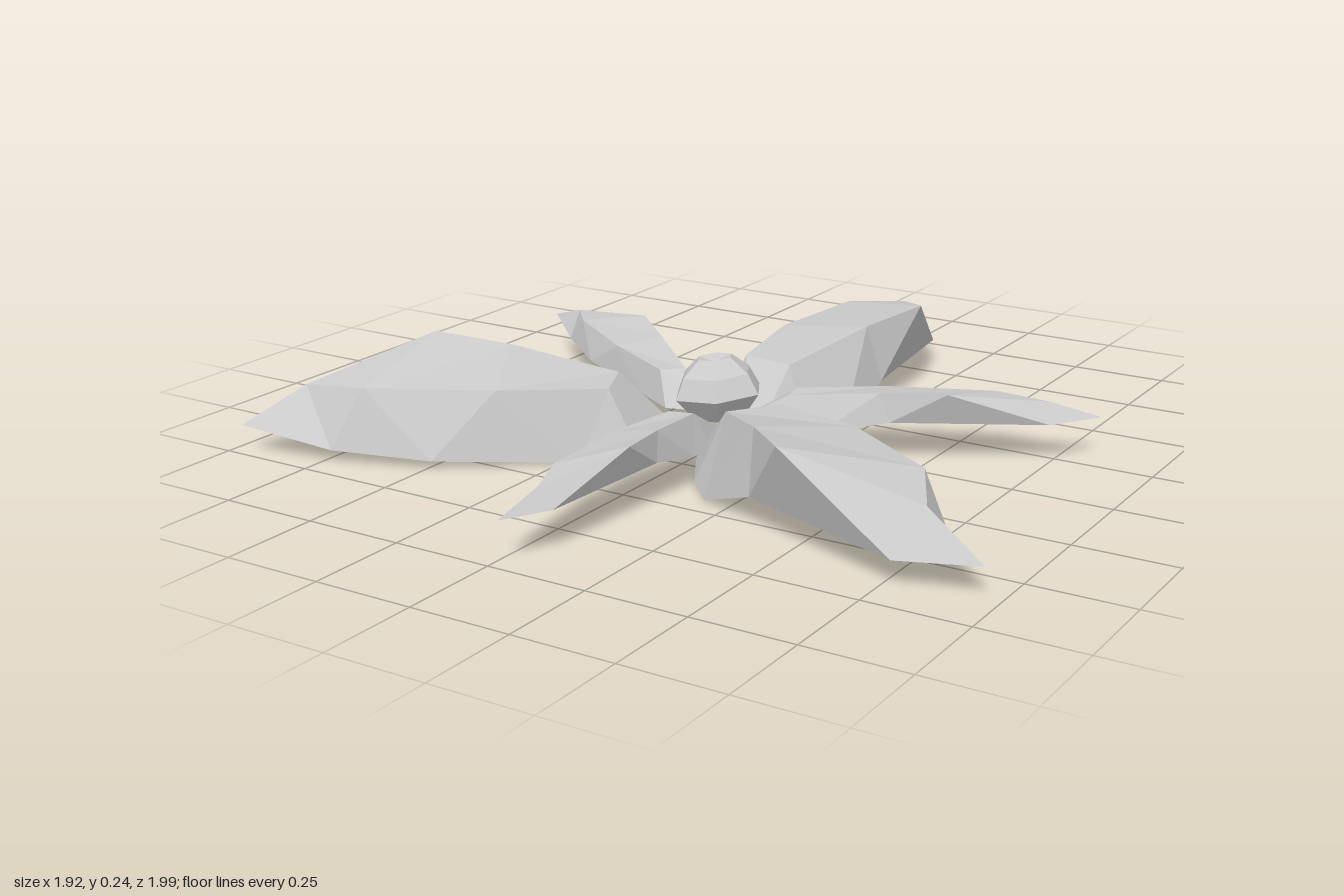
import * as THREE from 'three';

const material = new THREE.MeshStandardMaterial({ color: 0xcccccc, flatShading: true });
const CENTRE_Z = 0.113;

// Four-sided cross-sections from tip to base: low left, upper left, upper right, low right.
const TIP = [0, 0.07, -1];
const RIDGE = [0.04, 0.16, -0.85];
const BASE = [0.08, 0.01, 0.05];
const SECTIONS = [
  [TIP, TIP, TIP, TIP],
  [[-0.08, 0.03, -0.78], RIDGE, RIDGE, [0.13, 0.06, -0.85]],
  [[-0.14, 0.02, -0.54], [-0.06, 0.18, -0.7], [0.23, 0.24, -0.56], [0.2, 0.07, -0.4]],
  [[-0.1, 0, -0.2], [-0.09, 0.18, -0.39], [0.17, 0.22, -0.37], [0.2, 0, -0.2]],
  [[-0.09, 0, -0.05], [-0.05, 0.17, -0.13], [0.09, 0.17, -0.11], [0.16, 0, -0.08]],
  [BASE, BASE, BASE, BASE],
];

// Joins neighbouring cross-sections with triangles, dropping collapsed ones.
function petalGeometry() {
  const positions = [];
  const triangle = (a, b, c) => {
    if (a !== b && b !== c && a !== c) positions.push(...a, ...b, ...c);
  };
  for (let i = 0; i < SECTIONS.length - 1; i++) {
    for (let j = 0; j < 4; j++) {
      const k = (j + 1) % 4;
      const a = SECTIONS[i][j], b = SECTIONS[i][k];
      const c = SECTIONS[i + 1][k], d = SECTIONS[i + 1][j];
      if (j === 2) {
        // The right wall folds the other way, keeping its edge convex.
        triangle(a, d, b);
        triangle(b, d, c);
      } else {
        triangle(a, d, c);
        triangle(a, c, b);
      }
    }
  }
  const geometry = new THREE.BufferGeometry();
  geometry.setAttribute('position', new THREE.Float32BufferAttribute(positions, 3));
  geometry.translate(0, 0, -CENTRE_Z);
  geometry.computeVertexNormals();
  return geometry;
}

export function createModel() {
  const flower = new THREE.Group();
  flower.name = 'flower';
  const geometry = petalGeometry();

  // Petals: heading in degrees clockwise from the back, scale (negative width mirrors), position.
  const addPetal = (name, heading, scale, x, y, z) => {
    const petal = new THREE.Mesh(geometry, material);
    petal.name = name;
    petal.position.set(x, y, z);
    petal.rotation.y = -THREE.MathUtils.degToRad(heading);
    petal.scale.set(...scale);
    flower.add(petal);
  };
  addPetal('largePetalBack', 0, [1, 1, 1], 0, 0, CENTRE_Z);
  addPetal('largePetalLeft', 117.5, [1, 1, 0.975], 0, 0, CENTRE_Z);
  addPetal('largePetalRight', -123, [1, 1, 1.03], 0, 0, CENTRE_Z);
  addPetal('smallPetalFront', 180, [-0.43, 0.46, 0.785], 0.02, 0.07, CENTRE_Z);
  addPetal('smallPetalBackRight', -57.7, [0.45, 0.46, 0.89], -0.01, 0.07, 0.13);
  addPetal('smallPetalBackLeft', 64, [0.46, 0.46, 0.85], -0.01, 0.07, 0.095);

  // Faceted heart of the flower, tilted slightly.
  const profile = [[0, -0.06], [0.065, -0.06], [0.115, 0], [0.09, 0.05], [0.045, 0.088], [0, 0.075]]
    .map(([r, y]) => new THREE.Vector2(r, y));
  const heart = new THREE.Mesh(new THREE.LatheGeometry(profile, 6, Math.PI / 2), material);
  heart.name = 'flowerHeart';
  heart.position.set(0.022, 0.15, 0.12);
  heart.rotation.z = 0.1;
  flower.add(heart);

  return flower;
}
